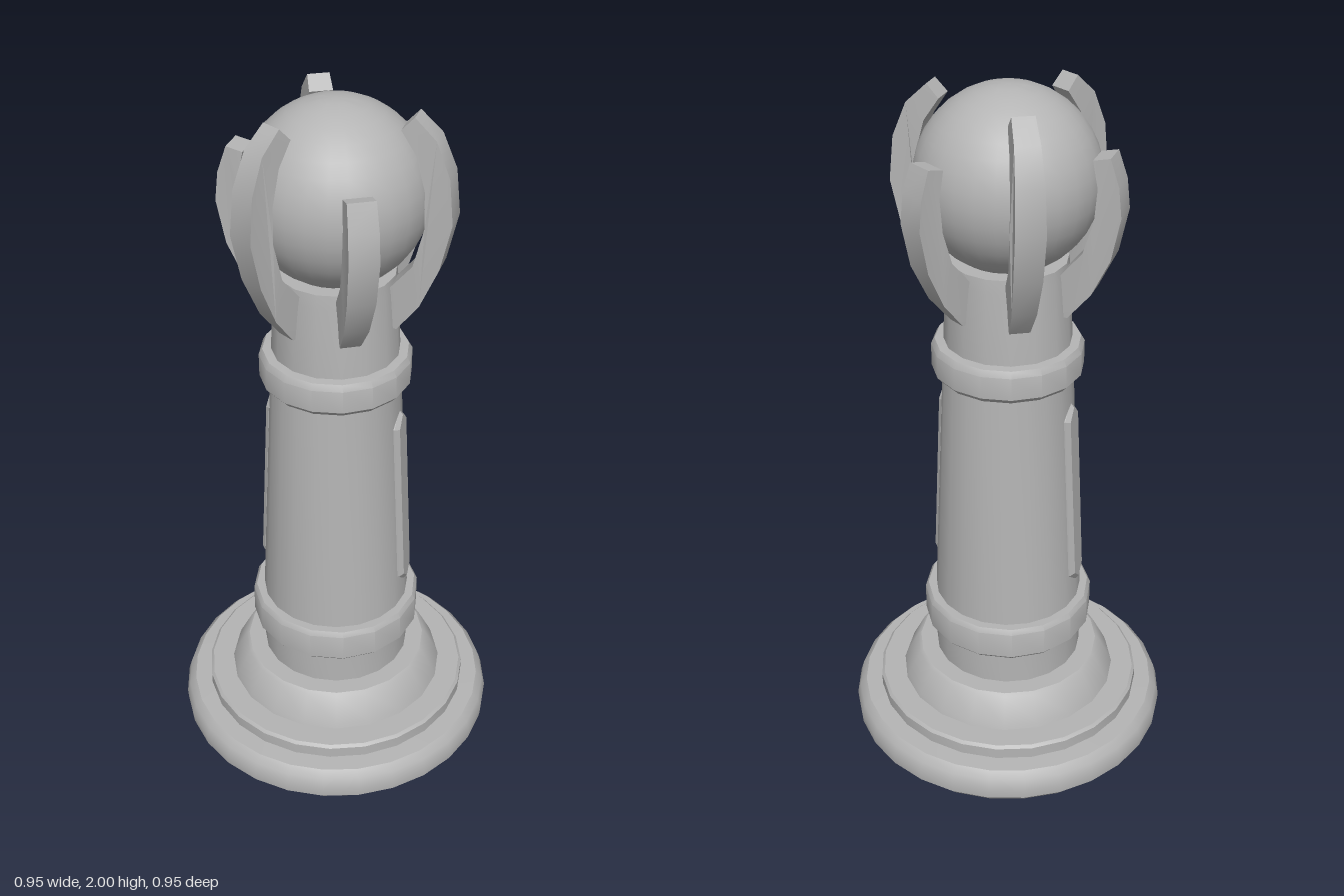
import * as THREE from 'three';
import { toCreasedNormals } from 'three/addons/utils/BufferGeometryUtils.js';

const stone = new THREE.MeshStandardMaterial({ color: 0xb4b4b4 });
stone.name = 'stone grey';

const vectors = (pairs) => pairs.map(([x, y]) => new THREE.Vector2(x, y));

function part(name, geometry, crease = 0.6) {
  const mesh = new THREE.Mesh(toCreasedNormals(geometry, crease), stone);
  mesh.name = name;
  return mesh;
}

// Turned part from a profile of [radius, height], bottom to top
const turned = (name, sides, profile) =>
  part(name, new THREE.LatheGeometry(vectors(profile), sides));

// Curved claw, drawn in the xy plane and narrowed toward both ends
function claw(name, outline, angle) {
  const geometry = new THREE.ExtrudeGeometry(new THREE.Shape(vectors(outline)), {
    depth: 2, bevelEnabled: false,
  });
  geometry.translate(0, 0, -1);
  const pos = geometry.attributes.position;
  for (let i = 0; i < pos.count; i++) {
    const t = (pos.getY(i) - 1.7) / 0.3;
    pos.setZ(i, pos.getZ(i) * (0.039 - 0.011 * t * t));
  }
  const mesh = part(name, geometry, 0.45);
  mesh.rotation.y = angle;
  return mesh;
}

// Long pointed panel with bevelled edges, leaning with the shaft
function panel(side) {
  const w = 0.033, h = 0.285, shoulder = 0.255;
  const shape = new THREE.Shape(vectors([
    [0, -h], [w, -shoulder], [w, shoulder], [0, h], [-w, shoulder], [-w, -shoulder],
  ]));
  const geometry = new THREE.ExtrudeGeometry(shape, {
    depth: 0.01, bevelThickness: 0.012, bevelSize: 0.012, bevelSegments: 1,
  });
  geometry.translate(0, 0, -0.022);
  geometry.rotateX(-0.05);
  geometry.translate(0, 0.825, 0.208);
  geometry.rotateY(side * Math.PI / 2);
  return part(side > 0 ? 'leftPanel' : 'rightPanel', geometry, 0.2);
}

export function createModel() {
  const model = new THREE.Group();
  model.name = 'orbPillar';

  // Stepped foot with a recessed underside
  model.add(
    turned('foot', 28, [
      [0, 0.012], [0.4, 0.012], [0.405, 0], [0.45, 0.004], [0.472, 0.03],
      [0.474, 0.06], [0.464, 0.092], [0.445, 0.112], [0.38, 0.115],
    ]),
    turned('lowerStep', 24, [[0.396, 0.1], [0.396, 0.148], [0.388, 0.156], [0.3, 0.156]]),
    turned('upperStep', 20, [[0.325, 0.15], [0.318, 0.17], [0.28, 0.245], [0.27, 0.252], [0.2, 0.252]]),
    turned('lowerNeck', 20, [[0.219, 0.24], [0.219, 0.38]]),
  );

  // Shaft, collars and upper neck
  model.add(
    turned('lowerCollar', 16, [
      [0.2, 0.36], [0.238, 0.36], [0.249, 0.372], [0.249, 0.452], [0.24, 0.466], [0.2, 0.466],
    ]),
    turned('shaft', 20, [[0.217, 0.45], [0.18, 1.22]]),
    turned('upperCollar', 16, [
      [0.16, 1.2], [0.197, 1.2], [0.21, 1.215], [0.21, 1.28], [0.2, 1.297], [0.16, 1.3],
    ]),
    turned('upperNeck', 16, [[0.177, 1.28], [0.166, 1.5], [0.162, 1.538], [0.08, 1.538]]),
    panel(1),
    panel(-1),
  );

  // Orb
  const orb = part('orb', new THREE.SphereGeometry(0.246, 28, 18), 1);
  orb.position.y = 1.754;
  model.add(orb);

  // Tall and short claws alternate around the orb
  const tall = [
    [0.14, 1.4], [0.175, 1.395], [0.235, 1.475], [0.285, 1.59], [0.314, 1.72], [0.302, 1.84],
    [0.264, 1.932], [0.207, 1.985], [0.174, 1.95], [0.215, 1.89], [0.24, 1.8], [0.243, 1.7],
    [0.215, 1.59], [0.14, 1.5],
  ];
  const short = [
    [0.14, 1.4], [0.175, 1.395], [0.24, 1.475], [0.29, 1.58], [0.314, 1.7], [0.305, 1.78],
    [0.28, 1.852], [0.235, 1.842], [0.25, 1.77], [0.243, 1.68], [0.215, 1.59], [0.14, 1.5],
  ];
  for (let i = 0; i < 6; i++) {
    const isTall = i % 2 === 0;
    model.add(claw(isTall ? 'tallClaw' : 'shortClaw', isTall ? tall : short, i * Math.PI / 3));
  }
  return model;
}
